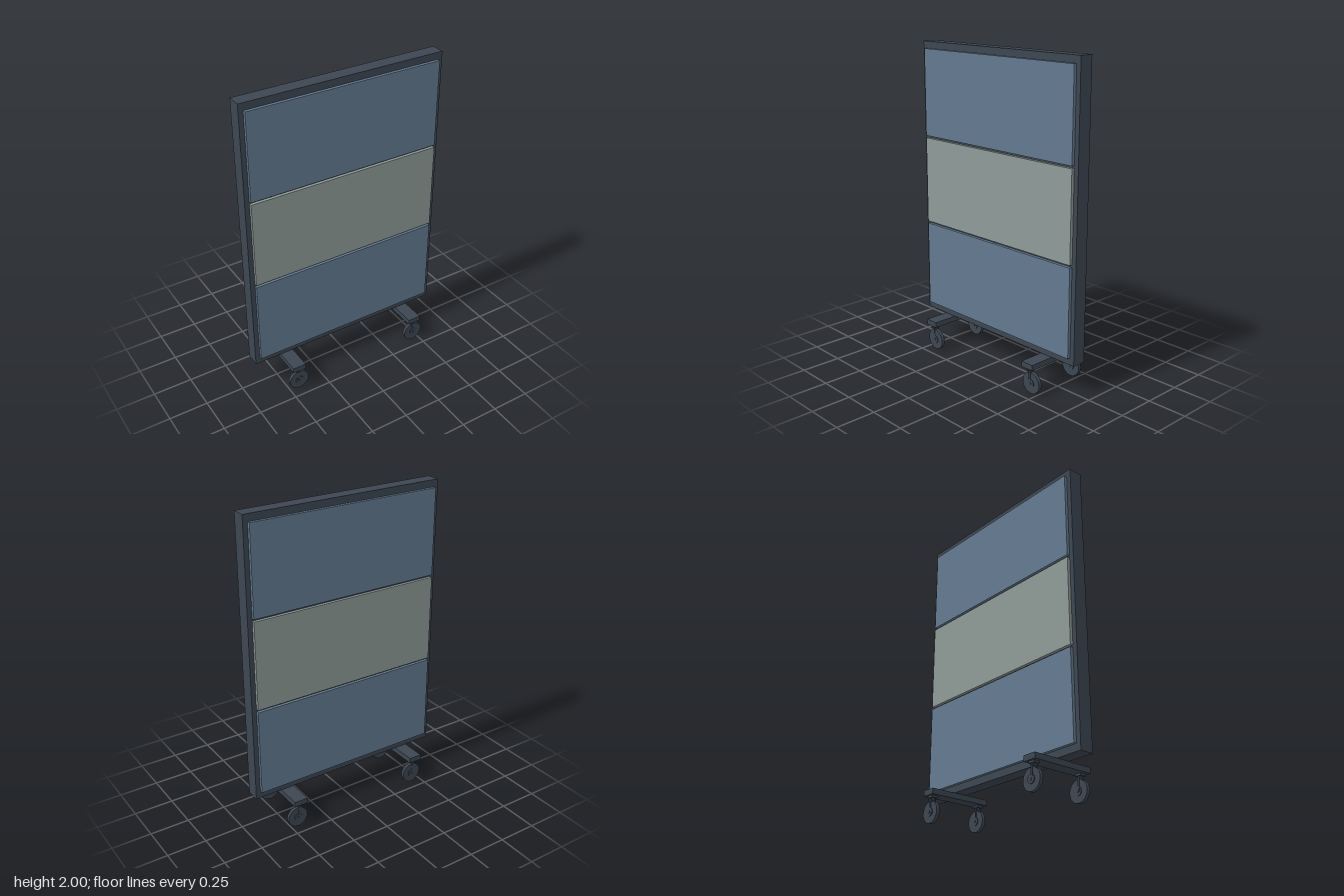
import * as THREE from 'three';

const mat = (name, color) => {
  const m = new THREE.MeshStandardMaterial({ color });
  m.name = name;
  return m;
};

export function createModel() {
  const slate = mat('slate frame', 0x3d4652);
  const blue = mat('blue fabric', 0x647a90);
  const sage = mat('sage fabric', 0x8f9b98);

  const root = new THREE.Group();
  root.name = 'mobilePartition';

  const add = (parent, name, geometry, material, x = 0, y = 0, z = 0) => {
    const mesh = new THREE.Mesh(geometry, material);
    mesh.name = name;
    mesh.position.set(x, y, z);
    parent.add(mesh);
    return mesh;
  };
  const box = (w, h, d) => new THREE.BoxGeometry(w, h, d);
  // Cylinder whose axis runs along z
  const disc = (r, depth, sides = 32) =>
    new THREE.CylinderGeometry(r, r, depth, sides).rotateX(Math.PI / 2);

  // Solid core, visible as the rim and the gaps between the panels
  add(root, 'frame', box(1.33, 1.8, 0.09), slate, 0, 1.1, 0);

  // Three raised panels on each face
  const panels = [
    ['lowerPanel', 0.245, 0.805, blue],
    ['middlePanel', 0.82, 1.382, sage],
    ['upperPanel', 1.397, 1.955, blue],
  ];
  for (const side of [1, -1])
    for (const [name, y0, y1, material] of panels)
      add(root, name, box(1.27, y1 - y0, 0.02), material, 0, (y0 + y1) / 2, side * 0.055);

  // Caster: swivel plate, stem, thin fork and wheel, trailing slightly to +x
  const makeCaster = () => {
    const caster = new THREE.Group();
    caster.name = 'caster';
    add(caster, 'swivelPlate', box(0.042, 0.014, 0.042), slate, 0, 0.159, 0);
    add(caster, 'stem', new THREE.CylinderGeometry(0.01, 0.01, 0.026, 16), slate, 0, 0.144, 0);
    add(caster, 'forkBridge', box(0.02, 0.008, 0.036), slate, 0, 0.14, 0);
    for (const side of [1, -1])
      add(caster, 'forkArm', box(0.012, 0.08, 0.004), slate, 0.003, 0.1, side * 0.015);
    add(caster, 'wheel', disc(0.067, 0.022), slate, 0.01, 0.067, 0);
    add(caster, 'hub', disc(0.026, 0.032, 24), slate, 0.01, 0.067, 0);
    add(caster, 'axle', disc(0.008, 0.04, 12), slate, 0.01, 0.067, 0);
    return caster;
  };

  // Cross feet with a caster at each end
  for (const x of [-0.444, 0.444]) {
    add(root, 'foot', box(0.088, 0.035, 0.42), slate, x, 0.1825, 0);
    for (const z of [-0.175, 0.175]) {
      const caster = makeCaster();
      caster.position.set(x, 0, z);
      root.add(caster);
    }
  }
  return root;
}
